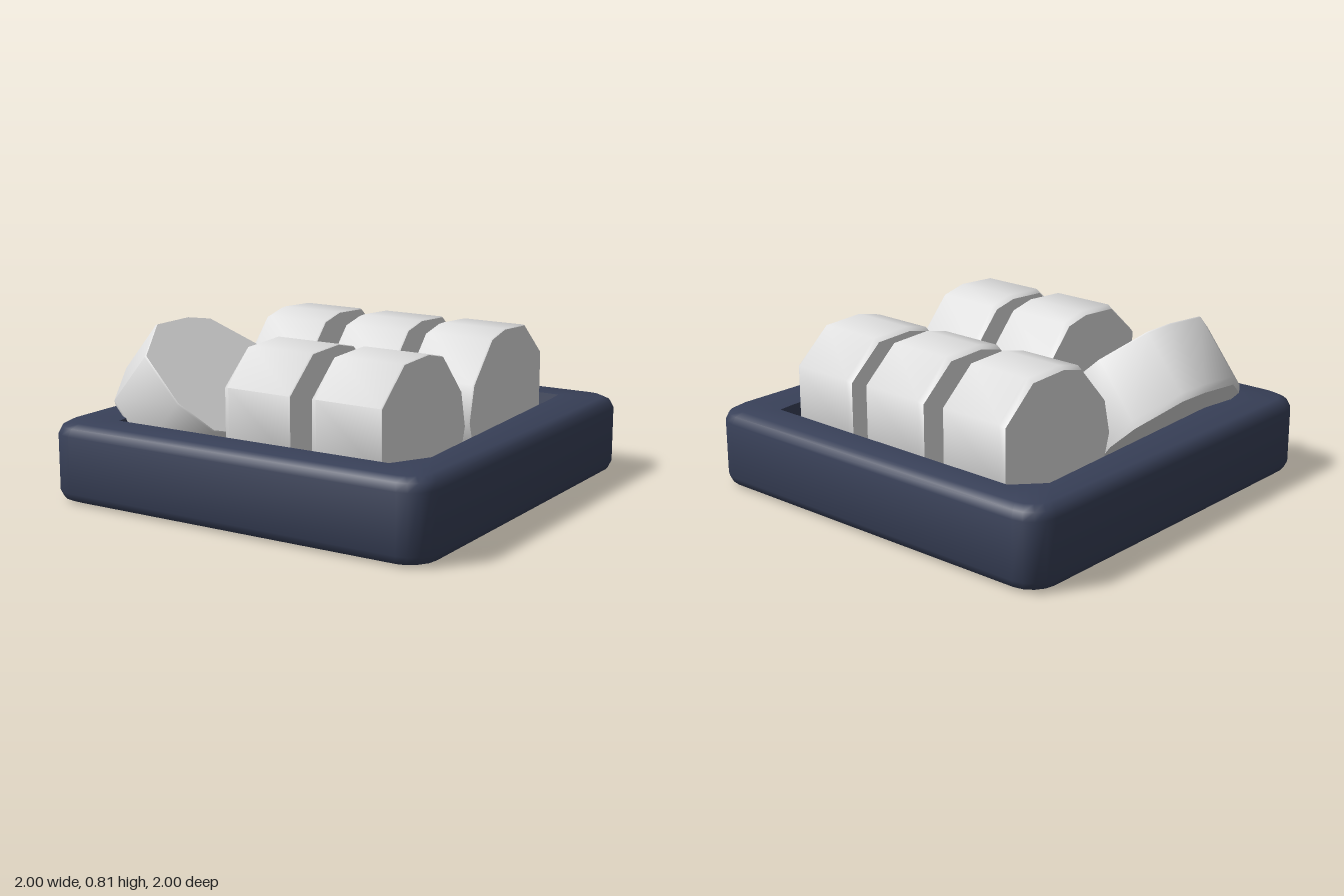
import * as THREE from 'three';
import { toCreasedNormals } from 'three/addons/utils/BufferGeometryUtils.js';

// Skin a list of equal-length loops and close both ends with fans.
function loft(loops, crease) {
  const pos = [];
  const tri = (a, b, c) => [a, b, c].forEach((p) => pos.push(p.x, p.y, p.z));
  const centre = (loop) => loop.reduce((s, p) => s.add(p), new THREE.Vector3()).divideScalar(loop.length);
  const n = loops[0].length;
  const last = loops[loops.length - 1];
  const c0 = centre(loops[0]);
  const c1 = centre(last);
  for (let i = 0; i < n; i++) {
    const j = (i + 1) % n;
    tri(c0, loops[0][j], loops[0][i]);
    tri(c1, last[i], last[j]);
    for (let k = 0; k < loops.length - 1; k++) {
      const a = loops[k], b = loops[k + 1];
      tri(a[i], a[j], b[j]);
      tri(a[i], b[j], b[i]);
    }
  }
  const g = new THREE.BufferGeometry();
  g.setAttribute('position', new THREE.Float32BufferAttribute(pos, 3));
  return toCreasedNormals(g, crease);
}

const STEPS = 5; // points per tray corner

// Rounded square outline of the tray
function outerLoop(inset, y) {
  const r = 0.13 - inset * 0.5;
  const h = 1 - inset - r;
  const signs = [[1, -1], [-1, -1], [-1, 1], [1, 1]];
  return signs.flatMap(([sx, sz], c) => Array.from({ length: STEPS }, (_, k) => {
    const a = (c + k / (STEPS - 1)) * Math.PI / 2;
    return new THREE.Vector3(sx * h + r * Math.cos(a), y, sz * h - r * Math.sin(a));
  }));
}

// Uneven recess outline: one chamfer (two points) per corner
function recessLoop(corners, y) {
  return corners.flatMap(([x0, z0, x1, z1]) => Array.from({ length: STEPS }, (_, k) => {
    const t = k / (STEPS - 1);
    return new THREE.Vector3(x0 + (x1 - x0) * t, y, z0 + (z1 - z0) * t);
  }));
}

function trayGeometry() {
  const rings = [[0.05, 0], [0.015, 0.015], [0, 0.05], [0, 0.32], [0.015, 0.355], [0.05, 0.375]];
  const rim = [[0.75, -0.72, 0.74, -0.81], [-0.7, -0.83, -0.82, -0.7],
    [-0.75, 0.68, -0.73, 0.8], [0.72, 0.8, 0.82, 0.62]];
  const floor = [[0.74, -0.68, 0.7, -0.76], [-0.66, -0.77, -0.73, -0.68],
    [-0.73, 0.68, -0.7, 0.79], [0.7, 0.79, 0.8, 0.62]];
  return loft([
    ...rings.map(([inset, y]) => outerLoop(inset, y)),
    recessLoop(rim, 0.375),
    recessLoop(floor, 0.08),
  ], 0.8);
}

// Faceted roll cross-section as [z, y]
const PROFILE = [[0.375, 0.2], [0.19, 0.36], [-0.02, 0.37], [-0.15, 0.34], [-0.325, 0.15], [-0.365, -0.02],
  [-0.31, -0.2], [-0.15, -0.32], [0.08, -0.33], [0.28, -0.26], [0.375, -0.08]];

// Roll along x, slightly skewed toward one end
function rollGeometry(mirrored) {
  const pts = mirrored ? PROFILE.map(([z, y]) => [-z, y]).reverse() : PROFILE;
  const section = (x, scale, shift) => pts.map(([z, y]) => new THREE.Vector3(x, y * scale, z * scale + shift));
  return loft([
    section(0.184, 0.99, 0.005),
    section(0.176, 1, 0.005),
    section(-0.15, 1, -0.005),
    section(-0.184, 0.965, -0.015),
  ], 0.95);
}

export function createModel() {
  const navy = new THREE.MeshStandardMaterial({ color: 0x384058 });
  navy.name = 'navy';
  const white = new THREE.MeshStandardMaterial({ color: 0xe0e0e0 });
  white.name = 'white';

  const model = new THREE.Group();
  model.name = 'trayOfRolls';
  const add = (name, geometry, material, x, y, z) => {
    const mesh = new THREE.Mesh(geometry, material);
    mesh.name = name;
    mesh.position.set(x, y, z);
    model.add(mesh);
    return mesh;
  };

  add('tray', trayGeometry(), navy, 0, 0, 0);

  // Upright rolls in two rows
  const front = rollGeometry(false);
  const back = rollGeometry(true);
  [-0.446, 0.028, 0.479].forEach((x, i) => add(`backRoll${i + 1}`, back, white, x, 0.395, -0.385));
  [0.028, 0.49].forEach((x, i) => add(`frontRoll${i + 1}`, front, white, x, 0.395, 0.405));

  // Roll tipped against the tray edge
  const tipped = add('tippedRoll', front, white, -0.52, 0.42, 0.4);
  tipped.rotation.set(0, -0.13, 0.81, 'YXZ');

  return model;
}
